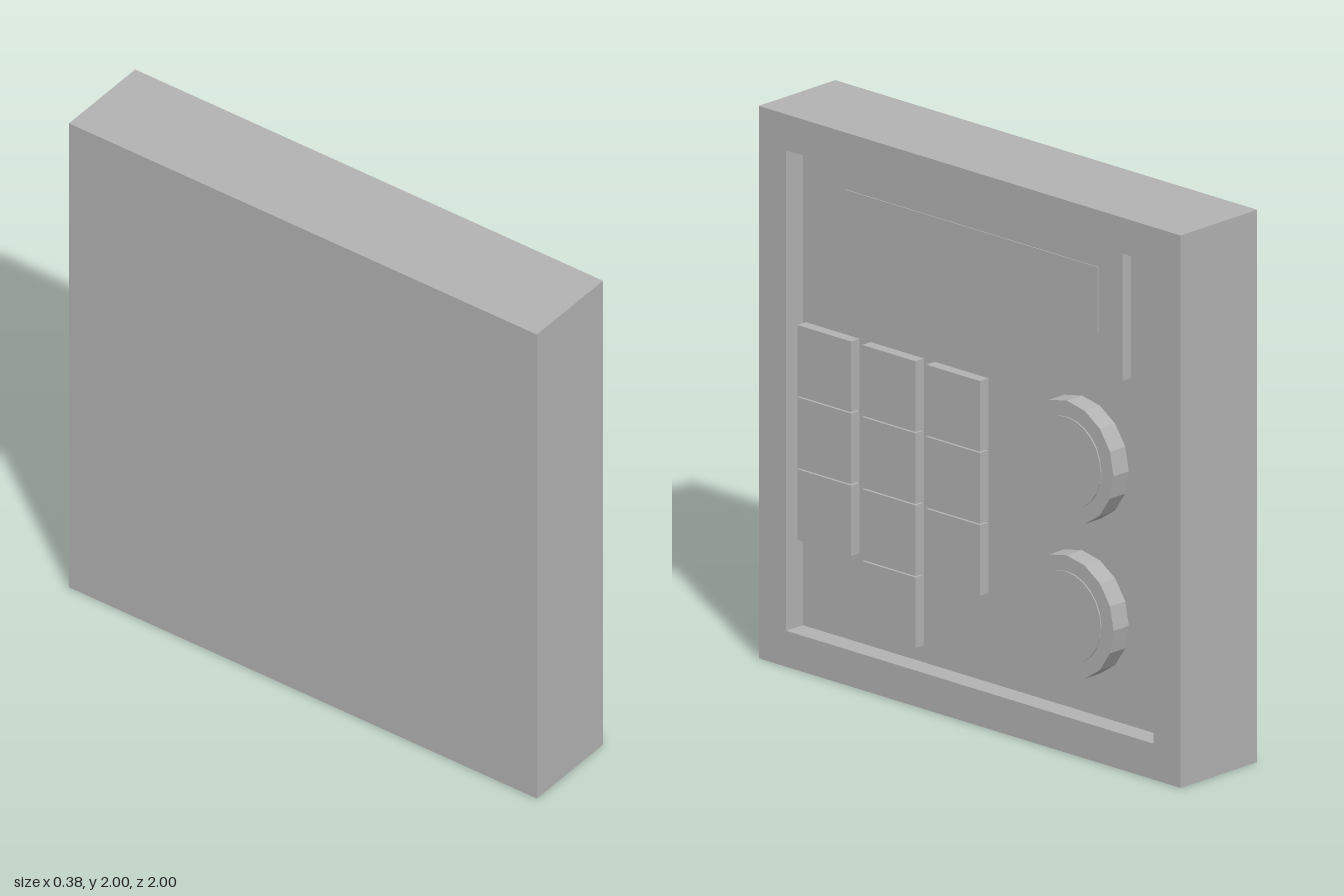
import * as THREE from 'three';

const grey = new THREE.MeshStandardMaterial({ color: 0xb2b2b2 });
grey.name = 'plain grey';

const FACE = 0.19;   // x of the front panel
const FLOOR = 0.107; // x of the recess floor

export function createModel() {
  const model = new THREE.Group();

  function add(name, geometry) {
    const mesh = new THREE.Mesh(geometry, grey);
    mesh.name = name;
    model.add(mesh);
    return mesh;
  }

  // Box given by its limits on each axis
  function block(name, x0, x1, y0, y1, z0, z1) {
    add(name, new THREE.BoxGeometry(x1 - x0, y1 - y0, z1 - z0))
      .position.set((x0 + x1) / 2, (y0 + y1) / 2, (z0 + z1) / 2);
  }

  // Disc with its axis along x
  function disc(name, x0, x1, radius, sides, y, z) {
    const geometry = new THREE.CylinderGeometry(radius, radius, x1 - x0, sides).toNonIndexed();
    geometry.computeVertexNormals();
    geometry.rotateZ(-Math.PI / 2);
    add(name, geometry).position.set((x0 + x1) / 2, y, z);
  }

  // Solid back of the case
  block('caseBack', -FACE, FLOOR, 0, 2, -1, 1);

  // Raised rim around the recess
  const rectangle = (path, half, y0, y1) => path
    .moveTo(-half, y0).lineTo(half, y0).lineTo(half, y1).lineTo(-half, y1).closePath();
  const rim = rectangle(new THREE.Shape(), 1, 0, 2);
  rim.holes.push(rectangle(new THREE.Path(), 0.87, 0.13, 1.87));
  const rimGeometry = new THREE.ExtrudeGeometry(rim, { depth: FACE - FLOOR, bevelEnabled: false });
  rimGeometry.rotateY(Math.PI / 2);
  add('caseRim', rimGeometry).position.x = FLOOR;

  // Display panel hung from the top of the recess, with a thin screen
  block('displayPanel', 0.138, 0.18, 1.405, 1.87, -0.715, 0.715);
  block('screen', 0.179, 0.184, 1.55, 1.79, -0.6, 0.6);

  // Keypad: three columns, the middle one a row longer
  [[0.7, 3], [0.393, 4], [0.088, 3]].forEach(([z, rows]) => {
    for (let row = 0; row < rows; row++) {
      const top = 1.245 - row * 0.261;
      block('key', 0.138, 0.18, top - 0.256, top, z - 0.127, z + 0.127);
    }
  });

  // Two dials, each with a thin cap
  [1.05, 0.49].forEach((y) => {
    disc('dial', FLOOR, 0.183, 0.222, 16, y, -0.453);
    disc('dialCap', 0.182, 0.188, 0.165, 24, y, -0.453);
  });

  return model;
}
